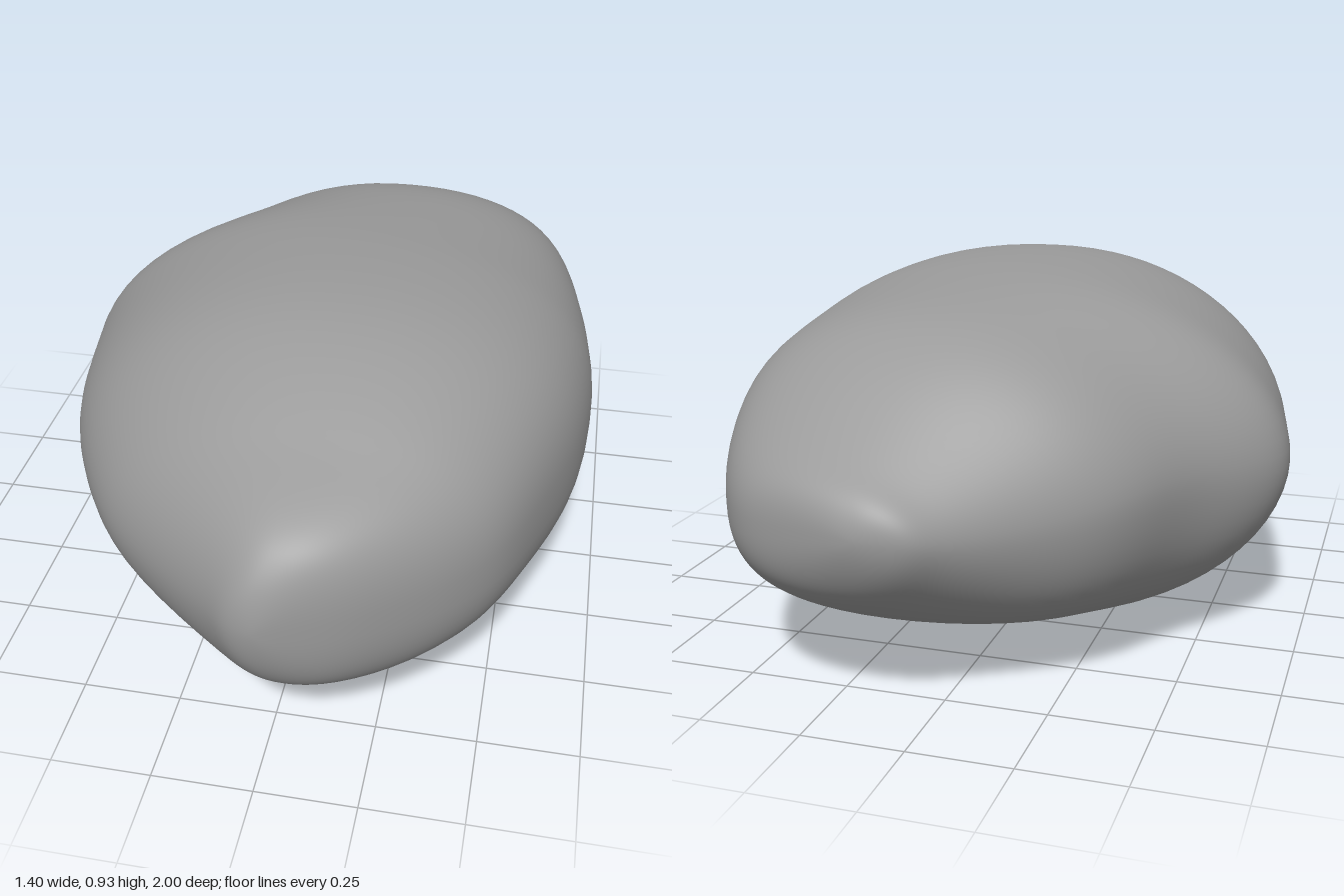
import * as THREE from 'three';
import { mergeVertices } from 'three/addons/utils/BufferGeometryUtils.js';

// Cross-sections from back to front: z, xMin, xMax, yMin, yMax
const SECTIONS = [
  [-1.004, 0.11, 0.11, 0.47, 0.47],
  [-0.985, 0.01, 0.2, 0.4, 0.53],
  [-0.95, -0.04, 0.32, 0.335, 0.57],
  [-0.9, -0.09, 0.43, 0.28, 0.605],
  [-0.8, -0.22, 0.515, 0.215, 0.68],
  [-0.7, -0.35, 0.565, 0.165, 0.765],
  [-0.6, -0.43, 0.6, 0.125, 0.83],
  [-0.5, -0.485, 0.63, 0.095, 0.863],
  [-0.4, -0.55, 0.652, 0.065, 0.882],
  [-0.3, -0.64, 0.672, 0.038, 0.897],
  [-0.2, -0.702, 0.687, 0.017, 0.91],
  [-0.1, -0.703, 0.697, 0.002, 0.92],
  [0.0, -0.685, 0.701, -0.001, 0.927],
  [0.2, -0.65, 0.682, 0.025, 0.932],
  [0.4, -0.59, 0.622, 0.075, 0.912],
  [0.6, -0.48, 0.547, 0.135, 0.837],
  [0.7, -0.395, 0.482, 0.17, 0.79],
  [0.8, -0.275, 0.39, 0.205, 0.752],
  [0.9, -0.145, 0.26, 0.265, 0.707],
  [0.95, -0.09, 0.17, 0.325, 0.655],
  [0.985, -0.05, 0.075, 0.4, 0.59],
  [1.004, 0.01, 0.01, 0.5, 0.5],
];

const RINGS = 126;
const SIDES = 72;
const SMOOTHING_PASSES = 14;

// Smooth curve through three columns of the section table
function columnCurve(a, b, c) {
  const points = SECTIONS.map((s) => new THREE.Vector3(s[a], s[b], s[c]));
  return new THREE.CatmullRomCurve3(points, false, 'catmullrom', 0.5);
}

// Closely spaced sections, softened along the length; the outline continues
// over each tip with its two sides swapped, so the tips stay round
function ringProfile() {
  const widths = columnCurve(0, 1, 2);
  const heights = columnCurve(0, 3, 4);
  let rows = [];
  for (let i = 0; i <= RINGS; i++) {
    const w = widths.getPoint(i / RINGS);
    const h = heights.getPoint(i / RINGS);
    rows.push([w.x, w.y, w.z, h.y, h.z]);
  }
  const swapped = ([z, x0, x1, y0, y1]) => [z, x1, x0, y1, y0];
  for (let pass = 0; pass < SMOOTHING_PASSES; pass++) {
    rows = rows.map((row, i) => {
      const before = rows[i - 1] ?? swapped(rows[1]);
      const after = rows[i + 1] ?? swapped(rows[RINGS - 1]);
      return row.map((v, k) => (before[k] + 2 * v + after[k]) / 4);
    });
  }
  return rows;
}

const signedPow = (v, p) => Math.sign(v) * Math.pow(Math.abs(v), p);

function stoneGeometry() {
  const positions = [];
  const index = [];

  for (const [z, x0, x1, y0, y1] of ringProfile()) {
    const halfWidth = (x1 - x0) / 2;
    // Swelling low on the -x side, towards the back
    const swelling = 0.6 * Math.exp(-(((z + 0.55) / 0.25) ** 2));
    for (let j = 0; j < SIDES; j++) {
      const angle = (j / SIDES) * Math.PI * 2;
      const c = Math.cos(angle);
      const s = Math.sin(angle);
      // The +x flank is fuller than the -x one
      const fullness = 2.16 + 0.22 * c + swelling * Math.max(0, -c) * Math.max(0, -s) * 2;
      const power = 2 / fullness;
      positions.push(
        (x0 + x1) / 2 + halfWidth * (signedPow(c, power) + 0.06 * s * s),
        (y0 + y1) / 2 + ((y1 - y0) / 2) * signedPow(s, power),
        z,
      );
    }
  }

  for (let i = 0; i < RINGS; i++) {
    for (let j = 0; j < SIDES; j++) {
      const a = i * SIDES + j;
      const b = i * SIDES + ((j + 1) % SIDES);
      // The end rings close to a point
      if (i > 0) index.push(a, b, i < RINGS - 1 ? b + SIDES : a + SIDES);
      if (i < RINGS - 1) index.push(a, b + SIDES, a + SIDES);
    }
  }

  const geometry = new THREE.BufferGeometry();
  geometry.setAttribute('position', new THREE.Float32BufferAttribute(positions, 3));
  geometry.setIndex(index);
  const welded = mergeVertices(geometry, 1e-5);
  welded.computeVertexNormals();
  return welded;
}

export function createModel() {
  const group = new THREE.Group();
  group.name = 'rock';

  // Smooth, worn boulder
  const stone = new THREE.Mesh(
    stoneGeometry(),
    new THREE.MeshStandardMaterial({ color: 0x9a9a9a }),
  );
  stone.name = 'stone';
  group.add(stone);

  return group;
}
